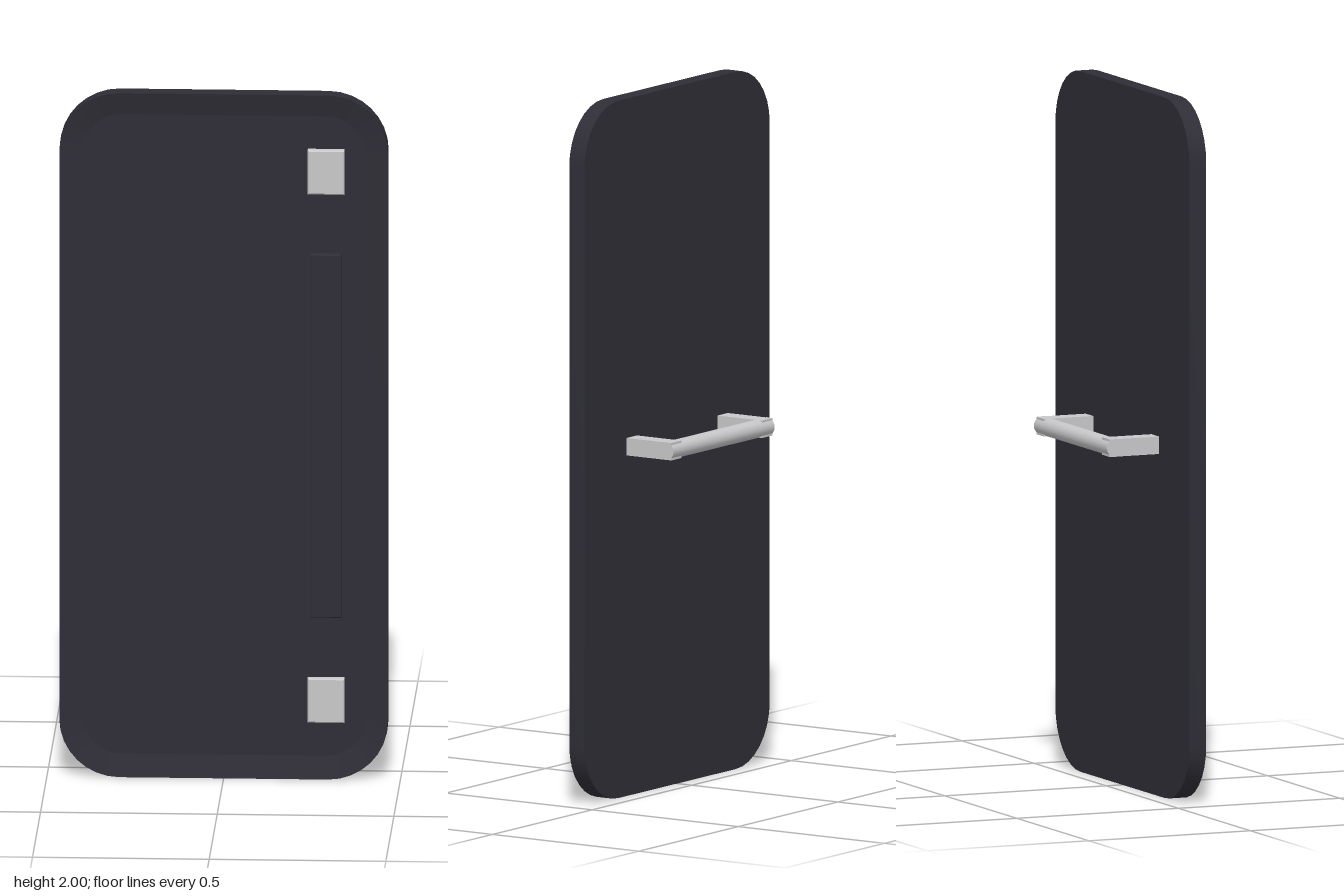
import * as THREE from 'three';
import { toCreasedNormals } from 'three/addons/utils/BufferGeometryUtils.js';

const CORNER_STEPS = 8;
const MID_Y = 1;

// Counter-clockwise rounded rectangle at depth z
function roundedLoop(halfW, halfH, r, z) {
  const pts = [];
  const signs = [[1, 1], [-1, 1], [-1, -1], [1, -1]];
  signs.forEach(([sx, sy], q) => {
    for (let i = 0; i <= CORNER_STEPS; i++) {
      const a = (q + i / CORNER_STEPS) * Math.PI / 2;
      pts.push([
        sx * (halfW - r) + r * Math.cos(a),
        MID_Y + sy * (halfH - r) + r * Math.sin(a),
        z,
      ]);
    }
  });
  return pts;
}

// Skin a list of loops and close both ends with fans
function loft(loops) {
  const n = loops[0].length;
  const pos = loops.flat(2);
  const index = [];
  loops.slice(1).forEach((_, l) => {
    for (let k = 0; k < n; k++) {
      const a = l * n + k, b = l * n + (k + 1) % n;
      index.push(a, b, b + n, a, b + n, a + n);
    }
  });
  const last = (loops.length - 1) * n;
  for (let k = 1; k < n - 1; k++) {
    index.push(0, k + 1, k);
    index.push(last, last + k, last + k + 1);
  }
  const geo = new THREE.BufferGeometry();
  geo.setAttribute('position', new THREE.Float32BufferAttribute(pos, 3));
  geo.setIndex(index);
  return toCreasedNormals(geo, 0.21);
}

// Block with a small chamfer around its front face
function chamferedBlock(w, h, zBack, zFront, c) {
  const geo = new THREE.BoxGeometry(w, h, zFront - zBack, 1, 1, 2);
  const p = geo.attributes.position;
  const half = (zFront - zBack) / 2;
  for (let i = 0; i < p.count; i++) {
    const z = p.getZ(i);
    if (z > half - 1e-4) {
      p.setX(i, p.getX(i) - Math.sign(p.getX(i)) * c);
      p.setY(i, p.getY(i) - Math.sign(p.getY(i)) * c);
    } else if (Math.abs(z) < 1e-4) {
      p.setZ(i, half - c);
    }
  }
  geo.translate(0, 0, (zFront + zBack) / 2);
  return toCreasedNormals(geo, 0.2);
}

export function createModel() {
  const model = new THREE.Group();
  model.name = 'doorPanel';
  const charcoal = new THREE.MeshStandardMaterial({ name: 'charcoal', color: 0x2f2e37 });
  const lightGrey = new THREE.MeshStandardMaterial({ name: 'light grey', color: 0xc8c8ca });

  const add = (name, geo, mat, x = 0, y = 0, z = 0, parent = model) => {
    const mesh = new THREE.Mesh(geo, mat);
    mesh.name = name;
    mesh.position.set(x, y, z);
    parent.add(mesh);
    return mesh;
  };

  // Slab with a shallow dished front
  add('panel', loft([
    roundedLoop(0.465, 1, 0.17, 0.05),
    roundedLoop(0.465, 1, 0.17, 0.102),
    roundedLoop(0.4, 0.935, 0.11, 0.087),
  ]), charcoal);

  // Long strip and the two pads on the front
  add('strip', chamferedBlock(0.09, 1.062, 0.08, 0.104, 0.003), charcoal, 0.289, 1.004);
  [['upperPad', 1.775], ['lowerPad', 0.231]].forEach(([name, y]) => {
    add(name, chamferedBlock(0.104, 0.13, 0.08, 0.107, 0.004), lightGrey, 0.29, y);
  });

  // Handle on the back: two posts and a round bar
  const handle = new THREE.Group();
  handle.name = 'handle';
  model.add(handle);
  for (const side of [1, -1]) {
    add(side > 0 ? 'leftPost' : 'rightPost', new THREE.BoxGeometry(0.052, 0.05, 0.158),
      lightGrey, side * 0.228, 1.002, -0.024, handle);
  }
  const bar = new THREE.CylinderGeometry(0.026, 0.026, 0.508, 16).rotateZ(Math.PI / 2);
  add('bar', bar, lightGrey, 0, 1.002, -0.085, handle);

  return model;
}
